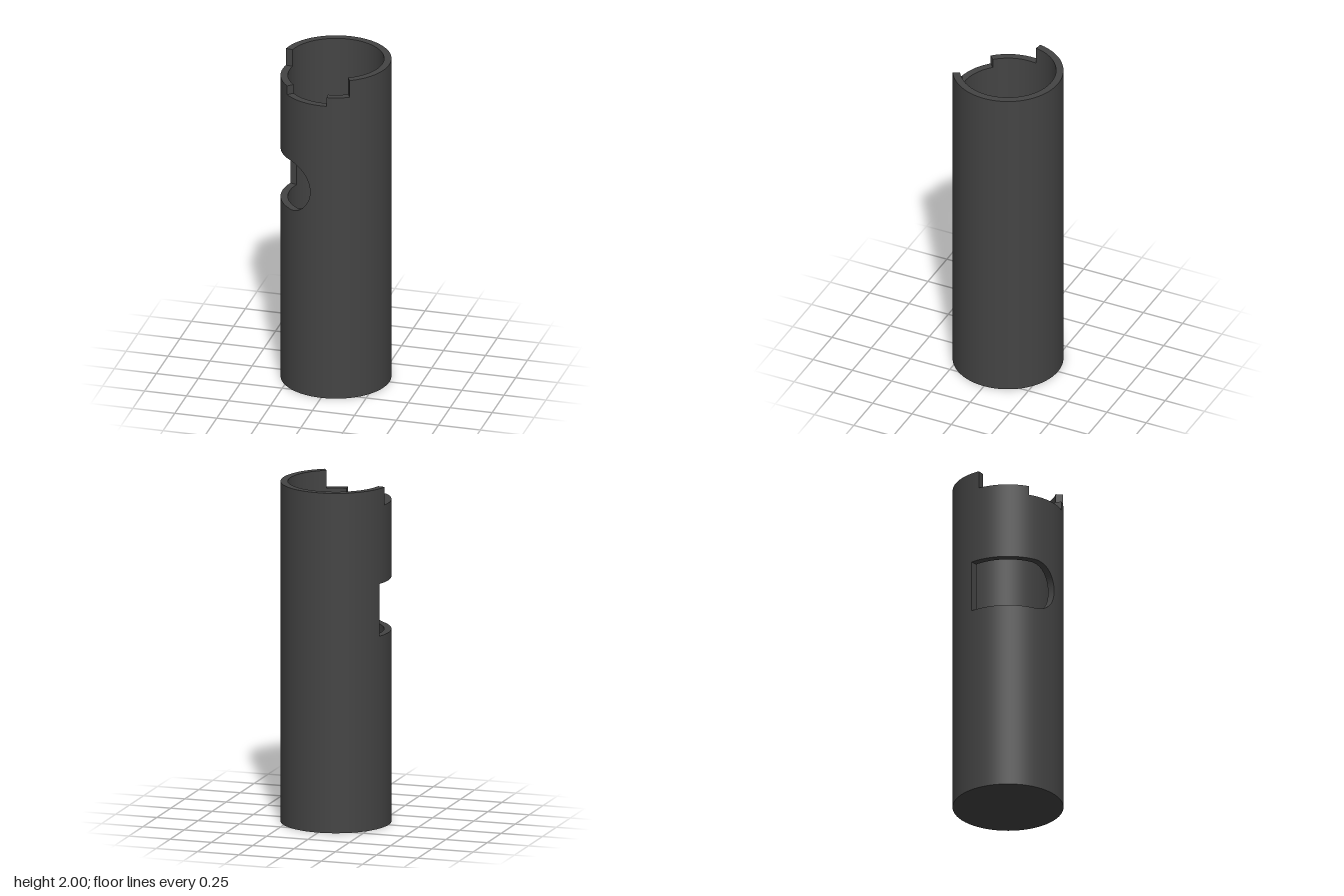
import * as THREE from 'three';

const R = 0.318, r = 0.276, H = 2, FLOOR = 0.04;
const SHELF = 1.895, SLOT = 1.84;             // heights of the stepped notch
const NOTCH = [-100, 30], STEP = [-46, 6];    // angles in degrees, 0 = front, + toward +x
const WIN = { from: -109.4, arc: -40.1, to: -12.2, y: 1.286, h: 0.154 };

const rad = THREE.MathUtils.degToRad;
const inside = (t, [a, b]) => t > a && t < b;
const point = (t, radius, y) => [radius * Math.sin(rad(t)), y, radius * Math.cos(rad(t))];

// Collects quads into one geometry; curved faces get radial normals
function quadBuilder() {
  const pos = [];
  return {
    quad(a, b, c, d, flip = false) {
      const tris = flip ? [a, c, b, a, d, c] : [a, b, c, a, c, d];
      tris.forEach((p) => pos.push(...p));
    },
    build(radial = 0) {
      const g = new THREE.BufferGeometry();
      g.setAttribute('position', new THREE.Float32BufferAttribute(pos, 3));
      g.computeVertexNormals();
      if (radial) {
        const n = g.attributes.normal;
        for (let i = 0; i < n.count; i++) {
          const v = new THREE.Vector3(pos[3 * i], 0, pos[3 * i + 2]).normalize().multiplyScalar(radial);
          n.setXYZ(i, v.x, v.y, v.z);
        }
      }
      return g;
    },
  };
}

// Half the window height at an angle: straight, then rounded at the front end
function windowHalf(t) {
  const u = Math.max(0, (t - WIN.arc) / (WIN.to - WIN.arc));
  return WIN.h * Math.sqrt(Math.max(0, 1 - u * u));
}

const topAt = (t) => (inside(t, STEP) ? SLOT : inside(t, NOTCH) ? SHELF : H);

// Angles where the wall is divided: an even grid, the cuts and the window's round end
function wallAngles() {
  const angles = [...NOTCH, ...STEP, WIN.from, WIN.to];
  for (let t = -180; t <= 180; t += 3) angles.push(t);
  for (let i = 0; i <= 24; i++) {
    angles.push(WIN.arc + (WIN.to - WIN.arc) * Math.sin((i / 24) * Math.PI / 2));
  }
  angles.sort((a, b) => a - b);
  return angles.filter((t, i) => i === 0 || t - angles[i - 1] > 1e-6);
}

export function createModel() {
  const model = new THREE.Group();
  model.name = 'notchedTube';
  const darkGrey = new THREE.MeshStandardMaterial({ color: 0x444444 });
  darkGrey.name = 'darkGrey';
  const add = (name, geometry) => {
    const mesh = new THREE.Mesh(geometry, darkGrey);
    mesh.name = name;
    model.add(mesh);
    return mesh;
  };

  const outer = quadBuilder(), inner = quadBuilder(), edges = quadBuilder();
  const angles = wallAngles();

  // Wall and its horizontal edges, column by column
  for (let i = 0; i < angles.length - 1; i++) {
    const a = angles[i], b = angles[i + 1], mid = (a + b) / 2;
    const rim = (ya, yb, flip) =>
      edges.quad(point(a, R, ya), point(b, R, yb), point(b, r, yb), point(a, r, ya), flip);
    const span = (la, lb, ha, hb) => {
      outer.quad(point(a, R, la), point(b, R, lb), point(b, R, hb), point(a, R, ha));
      inner.quad(point(a, r, la), point(b, r, lb), point(b, r, hb), point(a, r, ha), true);
    };
    const top = topAt(mid);
    rim(top, top, false);
    if (inside(mid, [WIN.from, WIN.to])) {
      const ha = windowHalf(a), hb = windowHalf(b);
      span(0, 0, WIN.y - ha, WIN.y - hb);
      span(WIN.y + ha, WIN.y + hb, top, top);
      rim(WIN.y - ha, WIN.y - hb, false);
      rim(WIN.y + ha, WIN.y + hb, true);
    } else {
      span(0, 0, top, top);
    }
  }

  // Upright end faces of the notch, its step and the window
  const endFace = (t, lo, hi, flip) =>
    edges.quad(point(t, R, lo), point(t, r, lo), point(t, r, hi), point(t, R, hi), flip);
  endFace(NOTCH[0], SHELF, H, false);
  endFace(NOTCH[1], SHELF, H, true);
  endFace(STEP[0], SLOT, SHELF, false);
  endFace(STEP[1], SLOT, SHELF, true);
  endFace(WIN.from, WIN.y - WIN.h, WIN.y + WIN.h, false);

  add('outerWall', outer.build(1));
  add('innerWall', inner.build(-1));
  add('cutEdges', edges.build());

  // Closed base
  const base = add('base', new THREE.CircleGeometry(R, 120));
  base.rotation.x = Math.PI / 2;
  const floor = add('innerFloor', new THREE.CircleGeometry(r, 120));
  floor.rotation.x = -Math.PI / 2;
  floor.position.y = FLOOR;

  return model;
}
